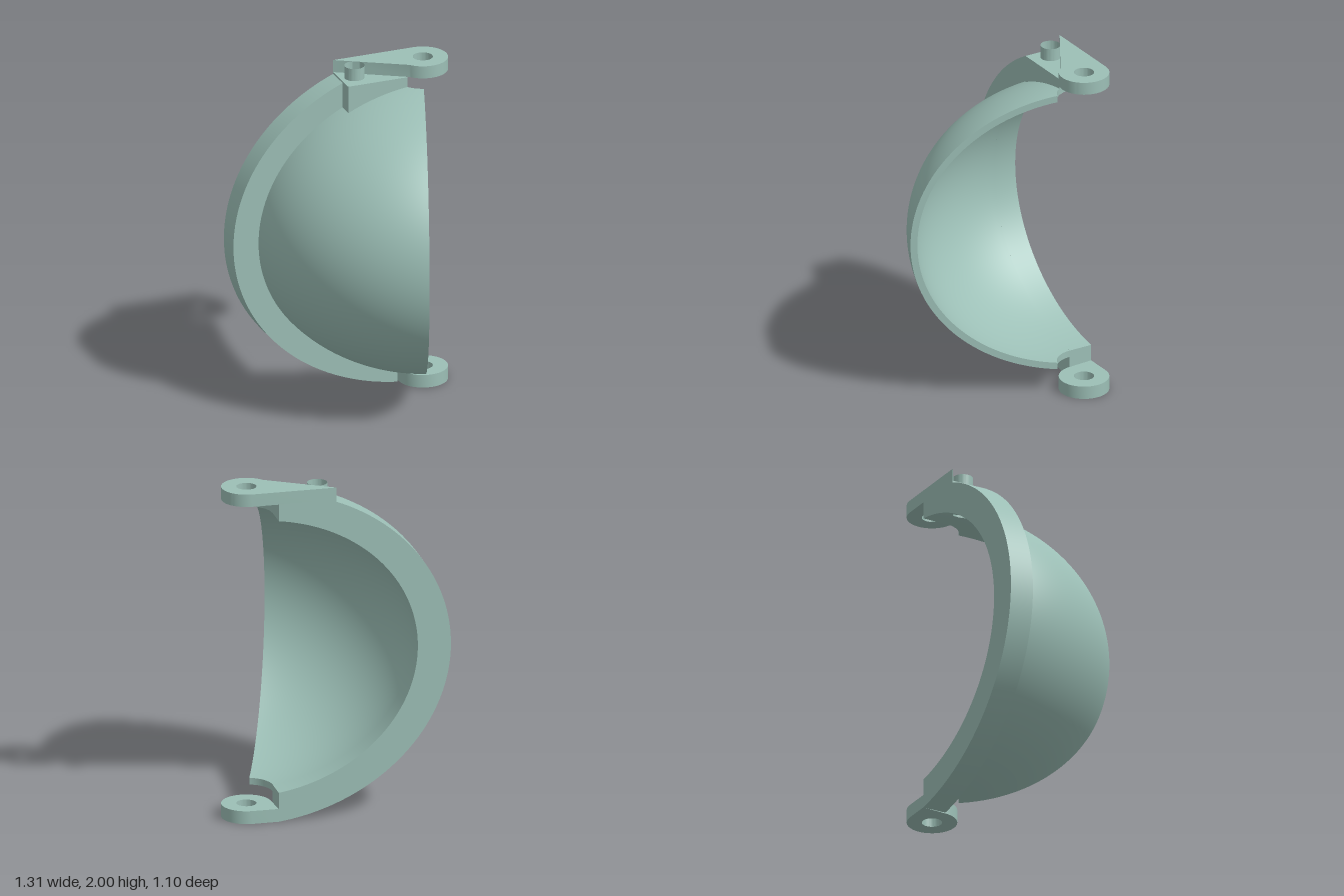
import * as THREE from 'three';
import { toCreasedNormals } from 'three/addons/utils/BufferGeometryUtils.js';

// Pivot axis, elliptical radii (horizontal, vertical) and depths
const PX = 0.51, PZ = -0.405, BACK = -0.55;
const OUT = [1.015, 0.875], INN = [0.975, 0.835], RIM = [1.17, 1.009];
const CLEAR = 0.155, LUG_R = 0.145, HOLE_R = 0.058;
const PIN_X = 0.1, PIN_Z = -0.435, BLOCK_X = 0.015, BLOCK_Z = -0.32;

// Points along an ellipse, running between two horizontal distances from the axis
function ellipse([a, b], rhoFrom, signFrom, rhoTo, signTo, n) {
  const t0 = signFrom * Math.acos(rhoFrom / a), t1 = signTo * Math.acos(rhoTo / a);
  return Array.from({ length: n + 1 }, (_, i) => {
    const t = t0 + (t1 - t0) * i / n;
    return new THREE.Vector2(a * Math.cos(t), b * Math.sin(t));
  });
}

// Height of the cavity ceiling above a plan position
function ceiling(x, z) {
  const rho = Math.hypot(x - PX, Math.max(z - PZ, 0));
  return 1 + INN[1] * Math.sqrt(1 - (rho / INN[0]) ** 2);
}

// Flat plate with a rounded pivot end, drawn in plan
function lugPlate(left, front, height, pinHole) {
  const s = new THREE.Shape();
  s.moveTo(left, -front);
  s.absarc(PX, -PZ, LUG_R, Math.PI + Math.asin((front - PZ) / LUG_R), Math.PI / 2, false);
  s.lineTo(left, -BACK);
  s.closePath();
  const hole = (x, z) => s.holes.push(new THREE.Path().absarc(x, -z, HOLE_R, 0, Math.PI * 2, true));
  hole(PX, PZ);
  if (pinHole) hole(PIN_X, PIN_Z);
  const g = new THREE.ExtrudeGeometry(s, { depth: height, bevelEnabled: false, curveSegments: 24 });
  g.rotateX(-Math.PI / 2);
  return toCreasedNormals(g, 0.6);
}

// Block with a vertical hole and an underside that follows the cavity
function blockGeometry(top) {
  const corners = [[BLOCK_X, BACK], [PX - CLEAR, BACK], [PX - CLEAR, PZ], [0.362, -0.36], [0.38, BLOCK_Z], [BLOCK_X, BLOCK_Z]];
  const outline = [];
  corners.forEach(([x, z], i) => {
    const [x2, z2] = corners[(i + 1) % corners.length];
    for (let k = 0; k < 10; k++) outline.push([x + (x2 - x) * k / 10, z + (z2 - z) * k / 10]);
  });
  const n = outline.length, steps = 6, rings = steps + 3, pos = [], idx = [];
  for (let r = 0; r < rings; r++) {
    const v = r <= steps ? r / steps : r === steps + 1 ? 1 : 0;
    for (const [x, z] of outline) {
      const d = Math.hypot(x - PIN_X, z - PIN_Z), f = (HOLE_R + (d - HOLE_R) * v) / d;
      const px = PIN_X + (x - PIN_X) * f, pz = PIN_Z + (z - PIN_Z) * f;
      pos.push(px, r <= steps ? ceiling(px, pz) : top, pz);
    }
  }
  for (let r = 0; r < rings; r++) for (let i = 0; i < n; i++) {
    const r2 = (r + 1) % rings, j = (i + 1) % n;
    const a = r * n + i, b = r2 * n + i, c = r2 * n + j, d = r * n + j;
    idx.push(a, b, c, a, c, d);
  }
  const g = new THREE.BufferGeometry();
  g.setAttribute('position', new THREE.Float32BufferAttribute(pos, 3));
  g.setIndex(idx);
  return toCreasedNormals(g, 0.6);
}

// Removes the shell triangles that would cover the pin hole
function openPinHole(geometry) {
  const g = geometry.toNonIndexed(), p = g.attributes.position, kept = [];
  for (let i = 0; i < p.count; i += 3) {
    const mid = (get) => (get(i) + get(i + 1) + get(i + 2)) / 3;
    const x = mid((k) => p.getX(k)), y = mid((k) => p.getY(k)), z = mid((k) => p.getZ(k));
    if (y > 1 && Math.hypot(x - PIN_X, z - PIN_Z) < 0.072) continue;
    for (let k = i; k < i + 3; k++) kept.push(p.getX(k), p.getY(k), p.getZ(k));
  }
  const out = new THREE.BufferGeometry();
  out.setAttribute('position', new THREE.Float32BufferAttribute(kept, 3));
  return toCreasedNormals(out, 0.6);
}

export function createModel() {
  const model = new THREE.Group();
  const sage = new THREE.MeshStandardMaterial({ color: 0x9cbfb6, side: THREE.DoubleSide });
  sage.name = 'sage green';
  const add = (name, geometry) => {
    const mesh = new THREE.Mesh(geometry, sage);
    mesh.name = name;
    model.add(mesh);
    return mesh;
  };

  // Thin ellipsoidal shell, a 70 degree wedge about the pivot axis
  const section = [...ellipse(OUT, CLEAR, -1, CLEAR, 1, 96), ...ellipse(INN, CLEAR, 1, CLEAR, -1, 96)];
  const sweep = THREE.MathUtils.degToRad(70);
  const lathe = new THREE.LatheGeometry([...section, section[0].clone()], 40, -Math.PI / 2, sweep);
  lathe.translate(PX, 1, PZ);
  add('shell', openPinHole(lathe));

  // Flat cut face closing the free edge of the shell
  const edge = new THREE.ShapeGeometry(new THREE.Shape(section));
  edge.rotateY(sweep - Math.PI);
  edge.translate(PX, 1, PZ);
  add('shellEdge', edge);

  // Crescent flange along the back
  const reach = PX - BLOCK_X;
  const crescent = [...ellipse(RIM, reach, 1, CLEAR, -1, 72), ...ellipse(INN, CLEAR, -1, reach, 1, 72)]
    .map((p) => new THREE.Vector2(PX - p.x, Math.max(0, 1 + p.y)));
  const rim = new THREE.ExtrudeGeometry(new THREE.Shape(crescent), { depth: PZ - BACK, bevelEnabled: false });
  rim.translate(0, 0, BACK);
  add('backRim', toCreasedNormals(rim, 0.6));

  // Top mounting block, its strap and the two pivot lugs
  add('topBlock', blockGeometry(1.925));
  add('topLug', lugPlate(BLOCK_X, BLOCK_Z, 0.075, true)).position.y = 1.925;
  add('bottomLug', lugPlate(PX - CLEAR, PZ, 0.078, false));

  return model;
}
